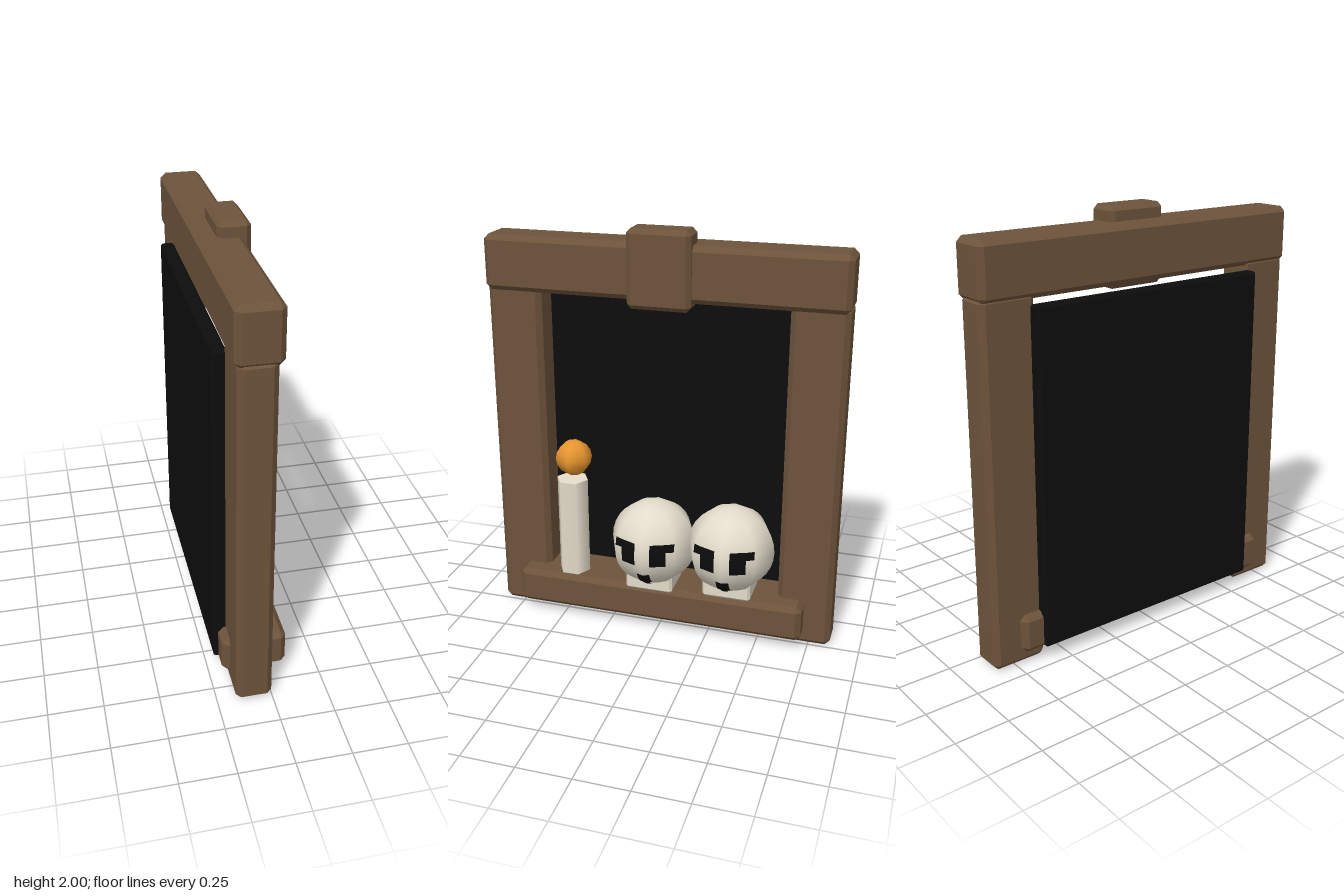
import * as THREE from 'three';
import { ConvexGeometry } from 'three/addons/geometries/ConvexGeometry.js';

const material = (name, color, extra = {}) => {
  const m = new THREE.MeshStandardMaterial({ color, ...extra });
  m.name = name;
  return m;
};

// Box given by its limits, with every edge chamfered by c
function chamferBox([x0, x1], [y0, y1], [z0, z1], c) {
  const h = [(x1 - x0) / 2, (y1 - y0) / 2, (z1 - z0) / 2];
  const pts = [];
  for (const sx of [-1, 1]) for (const sy of [-1, 1]) for (const sz of [-1, 1]) {
    for (let full = 0; full < 3; full++) {
      const d = h.map((v, i) => (i === full ? v : v - c));
      pts.push(new THREE.Vector3(sx * d[0], sy * d[1], sz * d[2]));
    }
  }
  return new ConvexGeometry(pts).translate((x0 + x1) / 2, (y0 + y1) / 2, (z0 + z1) / 2);
}

const SKULL_R = 0.213;

// Thin painted patch that follows the eight-sided skull on its +x side
function facePatch(u0, u1, v0, v1) {
  const g = new THREE.PlaneGeometry(u1 - u0, v1 - v0, 4, 6);
  g.translate((u0 + u1) / 2, (v0 + v1) / 2, 0);
  const p = g.attributes.position;
  for (let i = 0; i < p.count; i++) {
    const u = p.getX(i), v = p.getY(i), a = Math.abs(u);
    const ring = Math.sqrt(SKULL_R * SKULL_R - v * v);
    const x = Math.min(ring - 0.414 * a, (ring - a) / 0.414);
    p.setXYZ(i, x + 0.004, v, -u);
  }
  g.computeVertexNormals();
  return g;
}

export function createModel() {
  const model = new THREE.Group();
  model.name = 'shrineFrame';

  const wood = material('brown wood', 0x6d533b);
  const black = material('black backing', 0x0d0d0d);
  const bone = material('bone', 0xe2dbca);
  const wax = material('candle wax', 0xe6dfcc);
  const fire = material('flame orange', 0xe8962f);
  const dark = material('dark sockets', 0x0b0b0b, { side: THREE.DoubleSide });

  const add = (name, geometry, mat, parent = model) => {
    const mesh = new THREE.Mesh(geometry, mat);
    mesh.name = name;
    parent.add(mesh);
    return mesh;
  };

  // Timber frame
  add('leftPost', chamferBox([-0.165, 0], [0.005, 1.7], [-0.855, -0.59], 0.025), wood);
  add('rightPost', chamferBox([-0.165, 0], [0.005, 1.7], [0.59, 0.855], 0.025), wood);
  add('lintel', chamferBox([-0.177, 0.024], [1.67, 1.932], [-0.857, 0.857], 0.025), wood);
  add('keystone', chamferBox([-0.092, 0.055], [1.635, 2], [-0.15, 0.15], 0.022), wood);
  add('shelf', chamferBox([-0.2, 0.096], [0.063, 0.245], [-0.723, 0.723], 0.025), wood);

  // Back board
  add('backPanel', chamferBox([-0.22, -0.155], [0.072, 1.648], [-0.62, 0.62], 0.01), black);

  // Skulls: head, jaw block and painted face
  for (const [i, z, y] of [[1, 0.035, 0.462], [2, -0.355, 0.48]]) {
    const skull = new THREE.Group();
    skull.name = 'skull' + i;
    skull.position.set(0, y, z);
    model.add(skull);
    add('head', new THREE.SphereGeometry(SKULL_R, 8, 16), bone, skull);
    add('jaw', chamferBox([-0.095, 0.095], [-0.235, -0.13], [-0.118, 0.118], 0.012), bone, skull);
    for (const s of [-1, 1]) {
      const patch = (a, b, v0, v1) => facePatch(Math.min(s * a, s * b), Math.max(s * a, s * b), v0, v1);
      add('brow', patch(0.037, 0.146, 0.03, 0.068), dark, skull);
      add('eyeSocket', patch(0.037, 0.11, -0.045, 0.03), dark, skull);
    }
    add('noseHole', facePatch(-0.031, 0.031, -0.162, -0.095), dark, skull);
    add('noseTip', facePatch(-0.018, 0.018, -0.185, -0.162), dark, skull);
  }

  // Candle with flame
  add('candle', new THREE.CylinderGeometry(0.08, 0.08, 0.505, 6), wax).position.set(0, 0.492, 0.455);
  add('flame', new THREE.SphereGeometry(0.09, 6, 8), fire).position.set(-0.026, 0.845, 0.455);

  return model;
}
